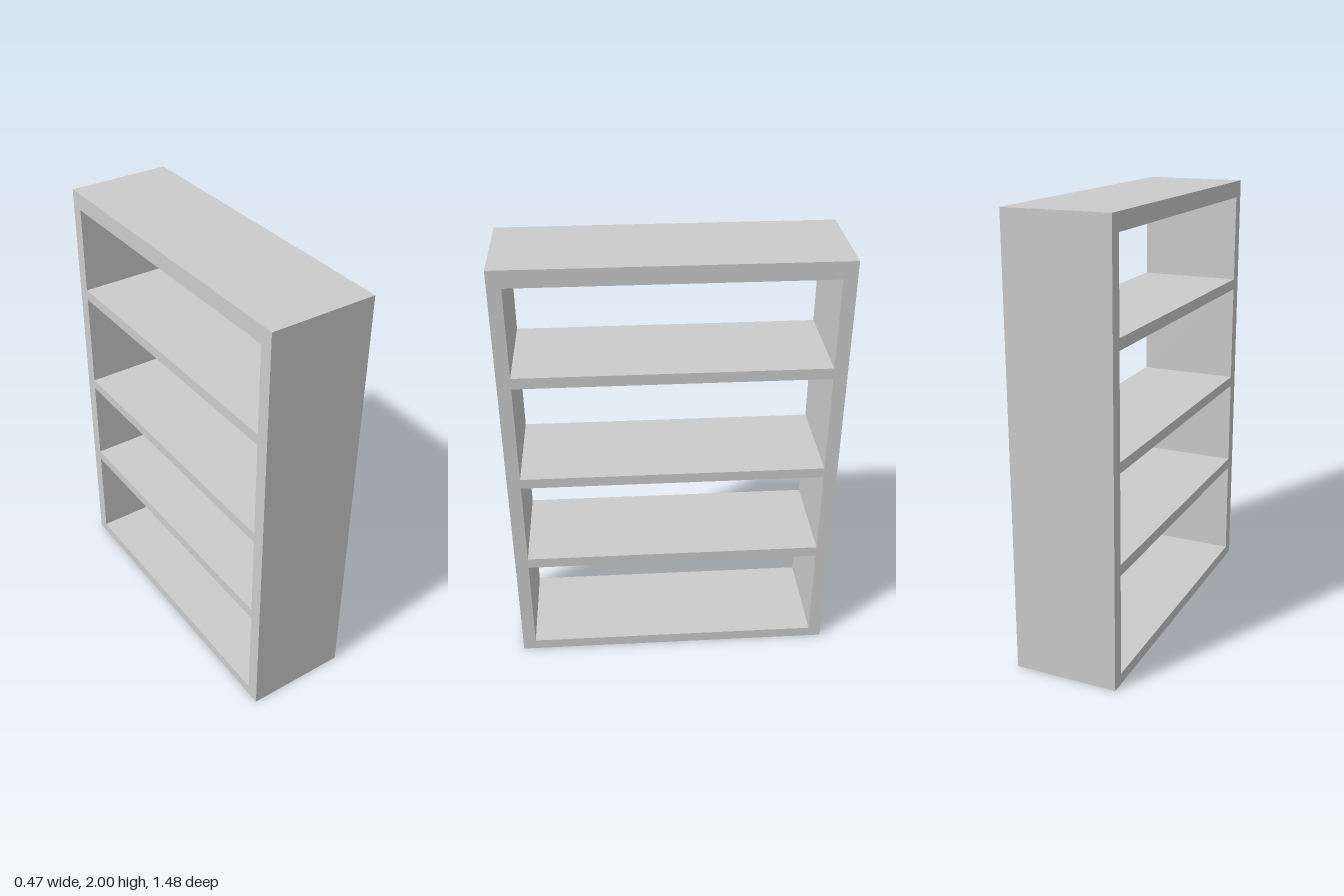
import * as THREE from 'three';

const DEPTH = 0.474;      // along x
const HALF_WIDTH = 0.74;  // along z
const HEIGHT = 2;
const WALL = 0.06;        // side panel thickness

// Bottom and top height of each open compartment, between the boards
const COMPARTMENTS = [
  [0.05, 0.512],
  [0.562, 0.965],
  [1.012, 1.47],
  [1.52, 1.923],
];

// Closed rectangle, symmetric about the middle
function rectangle(path, halfWidth, bottom, top) {
  path.moveTo(-halfWidth, bottom);
  path.lineTo(halfWidth, bottom);
  path.lineTo(halfWidth, top);
  path.lineTo(-halfWidth, top);
  path.closePath();
  return path;
}

export function createModel() {
  const group = new THREE.Group();
  group.name = 'openBookcase';

  // Outer case with one through-opening per compartment; the rest forms
  // the side panels, top, base and three shelves in one seamless body
  const outline = rectangle(new THREE.Shape(), HALF_WIDTH, 0, HEIGHT);
  for (const [bottom, top] of COMPARTMENTS) {
    outline.holes.push(rectangle(new THREE.Path(), HALF_WIDTH - WALL, bottom, top));
  }

  const geometry = new THREE.ExtrudeGeometry(outline, { depth: DEPTH, bevelEnabled: false });
  geometry.translate(0, 0, -DEPTH / 2);
  geometry.rotateY(Math.PI / 2); // openings face the x sides

  const bookcase = new THREE.Mesh(
    geometry,
    new THREE.MeshStandardMaterial({ color: 0xcccccc, flatShading: true })
  );
  bookcase.name = 'caseWithShelves';
  group.add(bookcase);

  return group;
}
